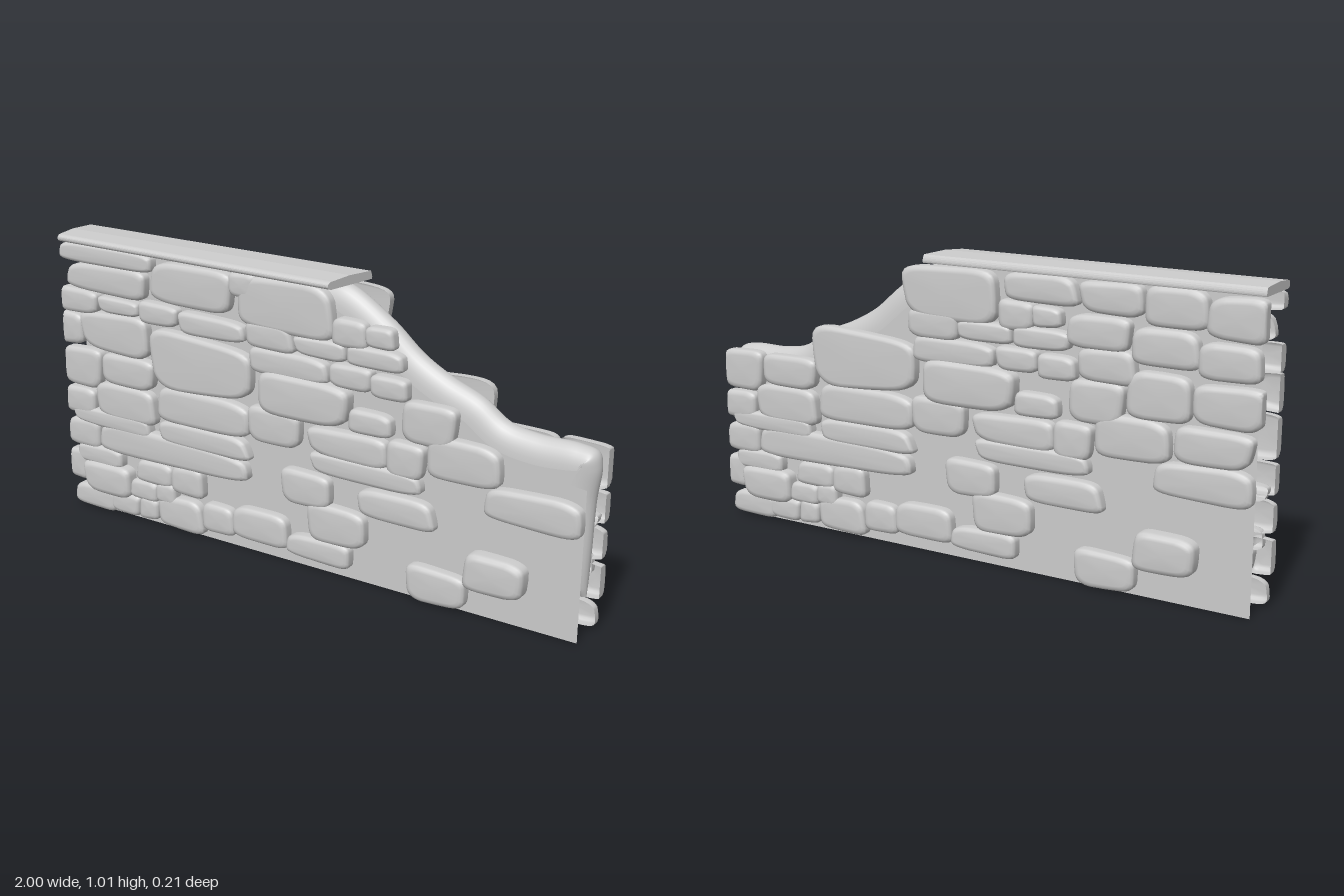
import * as THREE from 'three';

const stoneMat = new THREE.MeshStandardMaterial({ color: 0xcccccc, side: THREE.DoubleSide });

// Each stone: left, bottom, right, top, then optional taper (positive is taller on the right) and depth
const lowerStones = [
  [-0.99, 0.01, -0.80, 0.09], [-0.82, 0.02, -0.69, 0.09], [-0.69, 0.02, -0.61, 0.10], [-0.61, 0.01, -0.41, 0.13],
  [-0.41, 0.04, -0.28, 0.14], [-0.28, 0.05, -0.06, 0.16], [-0.06, 0.04, 0.19, 0.12], [0.40, 0.005, 0.61, 0.13, -0.1],
  [-0.94, 0.08, -0.72, 0.19, 0, 0.051], [-0.73, 0.09, -0.61, 0.16], [-0.61, 0.10, -0.53, 0.17], [-0.54, 0.15, -0.41, 0.25],
  [-0.70, 0.16, -0.54, 0.24], [-0.97, 0.18, -0.77, 0.25], [-1.02, 0.11, -0.93, 0.22], [0.02, 0.12, 0.24, 0.25],
  [0.60, 0.10, 0.81, 0.22, 0, 0.051], [-1.01, 0.24, -0.86, 0.34], [-0.87, 0.24, -0.22, 0.35, -0.1], [-0.08, 0.23, 0.11, 0.35],
  [0.21, 0.25, 0.50, 0.34],
];
const middleStones = [
  [-0.98, 0.33, -0.62, 0.39], [-0.60, 0.33, -0.20, 0.41], [-1.02, 0.36, -0.88, 0.46], [-0.87, 0.37, -0.60, 0.50],
  [-0.60, 0.41, -0.21, 0.53, 0], [-0.21, 0.42, -0.01, 0.54], [0.02, 0.36, 0.45, 0.43], [0.02, 0.42, 0.33, 0.52],
  [0.32, 0.41, 0.45, 0.53], [0.66, 0.34, 0.98, 0.46, 0.12], [0.46, 0.44, 0.71, 0.57, 0], [-1.02, 0.47, -0.84, 0.61],
  [-0.84, 0.50, -0.61, 0.61], [-0.62, 0.52, -0.19, 0.745, -0.15], [-0.17, 0.53, 0.18, 0.67, 0, 0.051],
  [0.18, 0.53, 0.33, 0.60], [0.37, 0.54, 0.56, 0.67],
];
const upperStones = [
  [-1.02, 0.62, -0.92, 0.73], [-0.93, 0.61, -0.62, 0.76, 0.1], [-0.21, 0.66, 0.10, 0.74], [0.11, 0.67, 0.26, 0.74],
  [0.26, 0.66, 0.39, 0.73], [-1.02, 0.74, -0.85, 0.82], [-0.84, 0.76, -0.66, 0.81], [-0.66, 0.75, -0.50, 0.82],
  [-0.50, 0.74, -0.22, 0.81], [-0.22, 0.74, -0.03, 0.83], [-0.03, 0.75, 0.17, 0.81], [0.17, 0.75, 0.37, 0.81],
  [-0.98, 0.82, -0.62, 0.92], [-0.61, 0.83, -0.26, 0.97], [-0.25, 0.80, 0.12, 0.98, 0.05], [0.12, 0.80, 0.24, 0.89],
  [0.24, 0.82, 0.34, 0.88], [-1.01, 0.92, -0.59, 0.985], [-0.28, 0.90, -0.18, 0.98],
];
// Extra stones for the tall end of the back face, in the turned frame
const backStones = [
  [0.13, 0.89, 0.40, 0.98], [0.40, 0.88, 0.62, 0.98], [0.62, 0.86, 0.82, 0.98], [0.82, 0.84, 1.01, 0.97],
  [0.36, 0.77, 0.58, 0.87], [0.58, 0.74, 0.80, 0.85], [0.80, 0.72, 0.99, 0.83], [0.40, 0.67, 0.60, 0.77],
  [0.57, 0.57, 0.78, 0.72], [0.78, 0.58, 1.01, 0.71], [0.72, 0.46, 0.98, 0.57],
];

// Outline of the broken top edge and the worn end
const crest = new THREE.CatmullRomCurve3([
  [0.05, 0.99], [0.14, 0.98], [0.29, 0.89], [0.40, 0.80], [0.50, 0.745], [0.61, 0.70], [0.70, 0.64], [0.80, 0.622],
  [0.93, 0.62], [0.985, 0.605], [1.0, 0.56], [0.99, 0.45], [0.985, 0.28], [0.98, 0.135],
].map(([x, y]) => new THREE.Vector3(x, y, 0)), false, 'centripetal');

const hash = (n) => { const s = Math.sin(n * 127.1 + 11.7) * 43758.5453; return s - Math.floor(s); };

function surface(positions, index) {
  const g = new THREE.BufferGeometry();
  g.setAttribute('position', new THREE.Float32BufferAttribute(positions, 3));
  g.setIndex(index);
  g.computeVertexNormals();
  return g;
}

// Rounded, slightly uneven stone with a nearly flat face and trimmed wall ends
function stoneGeometry([x0, y0, x1, y1, taper, depth = 0.038], seed) {
  const n = 32, w = (x1 - x0) / 2 + 0.006, h = (y1 - y0) / 2 + 0.006;
  const cx = (x0 + x1) / 2, cy = (y0 + y1) / 2;
  const bevel = Math.min(0.022, h * 0.4, w * 0.4);
  const tilt = taper ?? (hash(seed) - 0.5) * 0.16, lean = (hash(seed + 0.3) - 0.5) * 0.14;
  const rings = [[0, 0], [0, 0.6], [0.15, 0.8], [0.5, 0.94], [1, 1]];
  const pos = [], index = [], top = rings.length * n;
  for (const [inset, z] of rings) for (let i = 0; i < n; i++) {
    const a = i / n * Math.PI * 2, c = Math.cos(a), s = Math.sin(a);
    const wob = 1 - 0.03 * (1 + Math.sin(3 * a + 6.3 * hash(seed + 0.7)));
    const u = Math.sign(c) * Math.abs(c) ** 0.46 * wob, v = Math.sign(s) * Math.abs(s) ** 0.46 * wob;
    const x = cx + (w - inset * bevel) * u * (1 - Math.abs(lean) + lean * v * Math.sign(u));
    const y = cy + (h - inset * bevel) * v * (1 - Math.abs(tilt) + tilt * u);
    pos.push(THREE.MathUtils.clamp(x, -1, 1), THREE.MathUtils.clamp(y, 0.005, 0.985), z * depth);
  }
  pos.push(cx, cy, depth * 1.03);
  for (let r = 0; r < rings.length; r++) for (let i = 0; i < n; i++) {
    const j = (i + 1) % n, a = r * n + i, b = r * n + j;
    if (r === rings.length - 1) index.push(a, b, top);
    else index.push(a, b, b + n, a, b + n, a + n);
  }
  return surface(pos, index);
}

function addMesh(parent, name, geometry) {
  const mesh = new THREE.Mesh(geometry, stoneMat);
  mesh.name = name;
  parent.add(mesh);
}

export function createModel() {
  const wall = new THREE.Group();
  wall.name = 'ruinedStoneWall';

  // Stones on both faces; the back face is the same layout turned round
  const front = new THREE.Group(), back = new THREE.Group();
  front.name = 'frontStones';
  back.name = 'backStones';
  front.position.z = 0.047;
  back.position.z = -0.055;
  back.rotation.y = Math.PI;
  const all = [...lowerStones, ...middleStones, ...upperStones];
  all.forEach((s, i) => addMesh(front, 'stone', stoneGeometry(s, i + 1)));
  const belowCrest = ([x0, , , y1]) => y1 < (x0 < -0.62 ? 0.64 : x0 < -0.26 ? 0.76 : 1);
  [...all.filter(belowCrest), ...backStones]
    .forEach((s, i) => addMesh(back, 'stone', stoneGeometry(s, i + 1)));
  wall.add(front, back);

  // Rounded mortar ridge along the broken edge, closing to a blunt tip at the worn end
  const steps = 120, arc = 14, pos = [], index = [], inner = [];
  for (let i = 0; i <= steps; i++) {
    const p = crest.getPoint(i / steps), t = crest.getTangent(i / steps);
    const nx = -t.y, ny = t.x;
    const tip = 1 - Math.min(1, (1 - i / steps) * 15);
    const half = 0.049 * (0.3 + 0.7 * Math.sqrt(1 - tip * tip));
    // the rounding tightens at the sharp upper corner
    const round = 0.08 - 0.035 * Math.exp(-(((i / steps - 0.72) / 0.09) ** 2));
    inner.push(new THREE.Vector2(p.x - nx * round, p.y - ny * round));
    for (let k = 0; k <= arc; k++) {
      const a = k / arc * Math.PI, o = round * (Math.sin(a) - 1);
      pos.push(p.x + nx * o, p.y + ny * o, -0.004 + half * Math.cos(a));
      if (i < steps && k < arc) {
        const q = i * (arc + 1) + k, r = q + arc + 1;
        index.push(q, q + 1, r, q + 1, r + 1, r);
      }
    }
  }
  addMesh(wall, 'mortarRidge', surface(pos, index));

  // Thin mortar sheets behind the stones
  const edge = inner.filter((p) => p.y > 0.5);
  const sheet = (start, end) => new THREE.ShapeGeometry(new THREE.Shape([
    new THREE.Vector2(start, 0), new THREE.Vector2(end, 0), new THREE.Vector2(end, 0.5),
    ...edge.filter((p) => p.x < end).reverse(), new THREE.Vector2(0.05, 0.985), new THREE.Vector2(start, 0.985),
  ]));
  addMesh(wall, 'frontMortar', sheet(-0.93, 0.98).translate(0, 0, 0.047));
  addMesh(wall, 'backMortar', sheet(-0.98, 0.93).translate(0, 0, -0.055));

  // Capping slab with a rounded front lip, its free end cut at a slant
  const profile = new THREE.Shape();
  profile.moveTo(-0.09, 0.982);
  profile.lineTo(0.09, 0.982);
  profile.quadraticCurveTo(0.107, 0.985, 0.104, 0.998);
  profile.quadraticCurveTo(0.1, 1.008, 0.08, 1.008);
  profile.lineTo(0.01, 1.013);
  profile.lineTo(-0.085, 1.009);
  profile.quadraticCurveTo(-0.095, 0.99, -0.09, 0.982);
  const length = 1.14;
  const cap = new THREE.ExtrudeGeometry(profile, { depth: length, bevelEnabled: false, curveSegments: 6 });
  cap.rotateY(-Math.PI / 2);
  const cp = cap.attributes.position;
  for (let i = 0; i < cp.count; i++) {
    const f = 1 + cp.getX(i) / length, z = cp.getZ(i);
    cp.setXYZ(i, -1 + f * (length - z * 0.2), cp.getY(i), z > 0 ? z * (0.84 + 0.16 * f) : z);
  }
  cap.computeVertexNormals();
  addMesh(wall, 'cappingSlab', cap);

  return wall;
}
